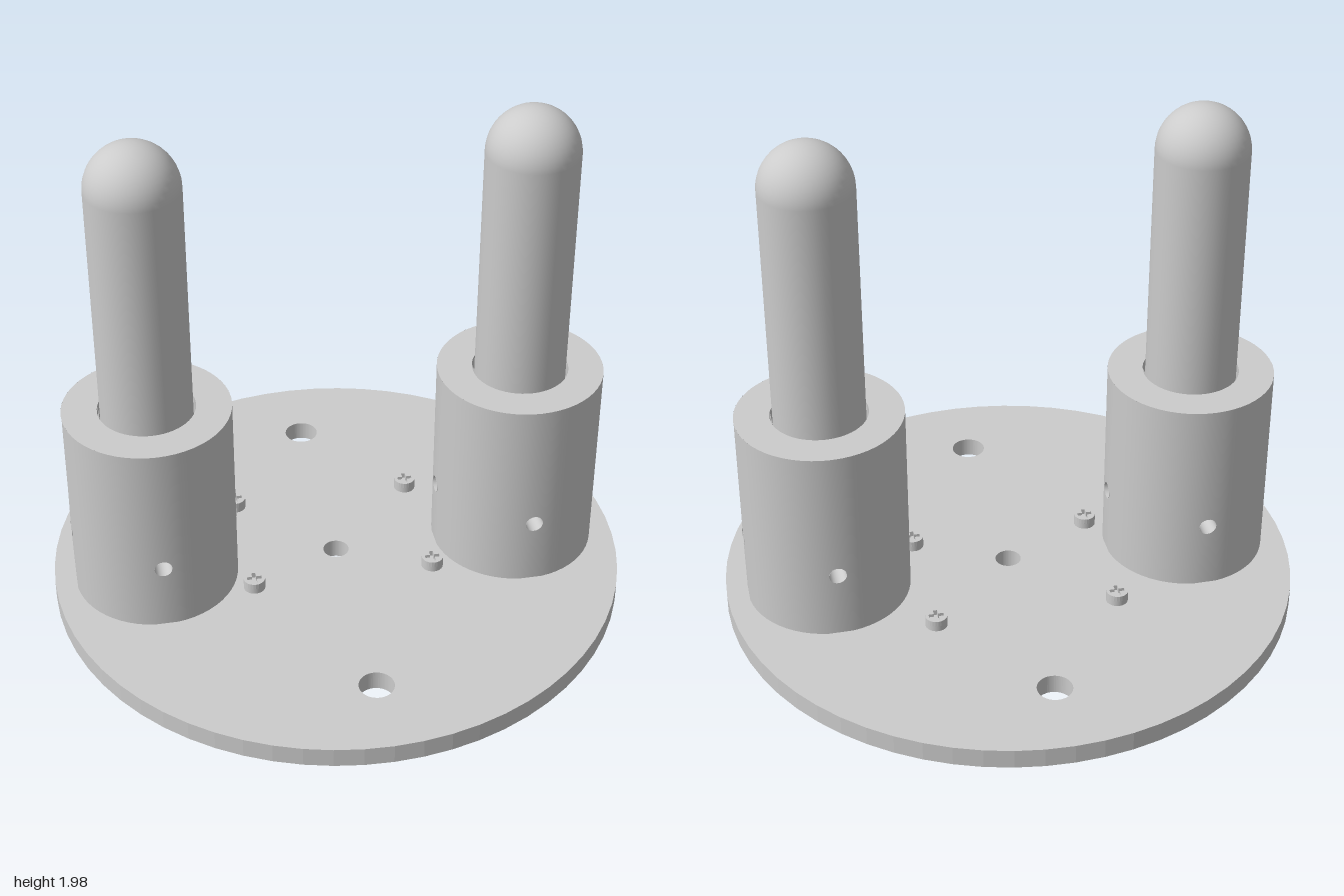
import * as THREE from 'three';
import { mergeGeometries } from 'three/addons/utils/BufferGeometryUtils.js';

const grey = new THREE.MeshStandardMaterial({ color: 0xcccccc });
const thin = new THREE.MeshStandardMaterial({ color: 0xcccccc, side: THREE.DoubleSide });

function add(parent, name, geometry, x = 0, y = 0, z = 0, material = grey) {
  const mesh = new THREE.Mesh(geometry, material);
  mesh.name = name;
  mesh.position.set(x, y, z);
  parent.add(mesh);
  return mesh;
}

const box = (w, h, d) => new THREE.BoxGeometry(w, h, d);
const cyl = (r, h, n = 32) => new THREE.CylinderGeometry(r, r, h, n);
const cylX = (r, h, n = 32) => cyl(r, h, n).rotateZ(Math.PI / 2);

function punch(shape, x, y, r) {
  shape.holes.push(new THREE.Path().absarc(x, y, r, 0, Math.PI * 2, true));
}

function rectangle(x0, y0, x1, y1) {
  return new THREE.Shape([[x0, y0], [x1, y0], [x1, y1], [x0, y1]].map(p => new THREE.Vector2(...p)));
}

function extrude(shape, depth, curveSegments = 12) {
  return new THREE.ExtrudeGeometry(shape, { depth, curveSegments, bevelEnabled: false });
}

// Open cylinder wall pierced by four round holes, one per quarter turn
function piercedWall(R, y0, y1, holeY, holeR) {
  const half = Math.asin(holeR / R) * 1.4;
  const pieces = [];
  for (let q = 0; q < 4; q++) {
    const mid = q * Math.PI / 2;
    const shape = rectangle(-half * R, y0, half * R, y1);
    punch(shape, 0, holeY, holeR);
    const panel = new THREE.ShapeGeometry(shape, 12);
    const p = panel.attributes.position;
    const n = panel.attributes.normal;
    for (let i = 0; i < p.count; i++) {
      const a = mid + p.getX(i) / R;
      p.setXYZ(i, R * Math.sin(a), p.getY(i), R * Math.cos(a));
      n.setXYZ(i, Math.sin(a), 0, Math.cos(a));
    }
    const gap = new THREE.CylinderGeometry(R, R, y1 - y0, 12, 1, true, mid + half, Math.PI / 2 - 2 * half);
    pieces.push(panel, gap.translate(0, (y0 + y1) / 2, 0));
  }
  return mergeGeometries(pieces);
}

function buildPost(s) {
  const post = new THREE.Group();
  post.name = 'post';
  post.position.x = s * 0.642;

  // Hollow sleeve with cross holes
  const outer = 0.285, inner = 0.165, holeY = 0.532, holeR = 0.03;
  add(post, 'sleeveOuterWall', piercedWall(outer, 0.29, 1.0, holeY, holeR), 0, 0, 0, thin);
  add(post, 'sleeveInnerWall', piercedWall(inner, 0.29, 1.0, holeY, holeR), 0, 0, 0, thin);
  add(post, 'sleeveRim', new THREE.RingGeometry(inner, outer, 56).rotateX(-Math.PI / 2), 0, 1.0, 0);
  for (let q = 0; q < 4; q++) {
    const tunnel = new THREE.CylinderGeometry(holeR, holeR, outer - inner, 24, 1, true)
      .rotateX(Math.PI / 2).translate(0, holeY, (outer + inner) / 2).rotateY(q * Math.PI / 2);
    add(post, 'sleeveCrossHole', tunnel, 0, 0, 0, thin);
  }

  // Round-nosed rod sliding in the sleeve
  const r = 0.156;
  add(post, 'rodShaft', cyl(r, 1.23, 40), 0, 1.215, 0);
  add(post, 'rodNose', new THREE.SphereGeometry(r, 40, 12, 0, Math.PI * 2, 0, Math.PI / 2), 0, 1.83, 0);
  return post;
}

// Screw with a cross-slotted head, passing down through the plate
function buildScrew(x, z) {
  const screw = new THREE.Group();
  screw.name = 'screw';
  screw.position.set(x, 0, z);
  const cap = new THREE.Shape().absarc(0, 0, 0.038, 0, Math.PI * 2);
  const a = 0.007, b = 0.026;
  cap.holes.push(new THREE.Path([
    [a, a], [a, b], [-a, b], [-a, a], [-b, a], [-b, -a],
    [-a, -a], [-a, -b], [a, -b], [a, -a], [b, -a], [b, a],
  ].map(p => new THREE.Vector2(...p))));
  add(screw, 'screwHeadBase', cyl(0.038, 0.02, 24), 0, 0.3, 0);
  add(screw, 'screwHeadCap', extrude(cap, 0.02).rotateX(-Math.PI / 2), 0, 0.31, 0);
  add(screw, 'screwShank', cyl(0.021, 0.18, 20), 0, 0.21, 0);
  return screw;
}

function buildServo(s) {
  const servo = new THREE.Group();
  servo.name = 'servo';
  const axisY = 0.11;

  // Angle bracket under the plate
  const web = rectangle(-0.21, 0.005, 0.355, 0.22);
  const window = new THREE.Path([[-0.09, 0.025], [-0.09, 0.197], [0.24, 0.197], [0.24, 0.025]]
    .map(p => new THREE.Vector2(...p)));
  web.holes.push(window);
  for (const x of [-0.125, 0.275]) punch(web, x, axisY, 0.015);
  add(servo, 'bracketWeb', extrude(web, 0.018).translate(0, 0, -0.009).rotateY(Math.PI / 2), s * 0.46, 0, 0);
  add(servo, 'bracketFlange', box(0.21, 0.02, 0.565), s * 0.362, 0.21, -0.0725);

  // Motor case with end cap and cable
  add(servo, 'motorCase', box(0.31, 0.168, 0.326), s * 0.315, axisY, -0.075);
  add(servo, 'motorEndCap', box(0.03, 0.174, 0.332), s * 0.148, axisY, -0.075);
  add(servo, 'cableOutlet', box(0.025, 0.055, 0.02), s * 0.19, axisY, 0.095);
  for (const z of [0.113, -0.262]) {
    const ear = rectangle(-0.026, 0.025, 0.026, 0.197);
    punch(ear, 0, axisY, 0.015);
    add(servo, 'mountingEar', extrude(ear, 0.02).translate(0, 0, -0.01).rotateY(Math.PI / 2),
      s * 0.441, 0, z);
  }

  // Gear housing and output shaft
  add(servo, 'gearHousing', cylX(0.082, 0.09), s * 0.505, axisY, 0);
  add(servo, 'idlerHousing', cylX(0.038, 0.09, 24), s * 0.505, axisY, -0.082);
  add(servo, 'outputShaft', cylX(0.04, 0.06, 24), s * 0.572, axisY, 0);

  // Horn: hub with a double arm
  add(servo, 'hornHub', cylX(0.035, 0.04, 24), s * 0.595, axisY, 0);
  const arm = new THREE.Shape();
  arm.absarc(0.09, 0, 0.02, -Math.PI / 2, Math.PI / 2);
  arm.absarc(-0.09, 0, 0.02, Math.PI / 2, Math.PI * 1.5);
  for (const x of [-0.085, -0.055, 0.055, 0.085]) punch(arm, x, 0, 0.006);
  add(servo, 'hornArm', extrude(arm, 0.02).translate(0, 0, -0.01).rotateY(Math.PI / 2), s * 0.6, axisY, 0);

  // Link rising through the plate towards the rod
  add(servo, 'linkPin', cylX(0.024, 0.09, 20), s * 0.638, axisY, 0.05);
  const link = add(servo, 'link', box(0.05, 0.34, 0.048), s * 0.636, 0.25, 0.025);
  link.rotation.x = -0.17;
  return servo;
}

export function createModel() {
  const model = new THREE.Group();
  model.name = 'twinPostAssembly';

  // Round base plate with through holes
  const disc = new THREE.Shape().absarc(0, 0, 1, 0, Math.PI * 2);
  punch(disc, 0, 0, 0.045);
  for (const s of [-1, 1]) {
    punch(disc, 0, s * 0.715, 0.06);
    punch(disc, s * 0.642, 0, 0.1);
    for (const z of [-0.23, 0.23]) punch(disc, s * 0.642, z, 0.018);
  }
  add(model, 'basePlate', extrude(disc, 0.07, 32).rotateX(-Math.PI / 2), 0, 0.22, 0);

  // Mirrored posts, motors and fixings
  for (const s of [-1, 1]) {
    model.add(buildPost(s), buildServo(s));
    for (const z of [-0.31, 0.15]) model.add(buildScrew(s * 0.318, z));
  }
  return model;
}
